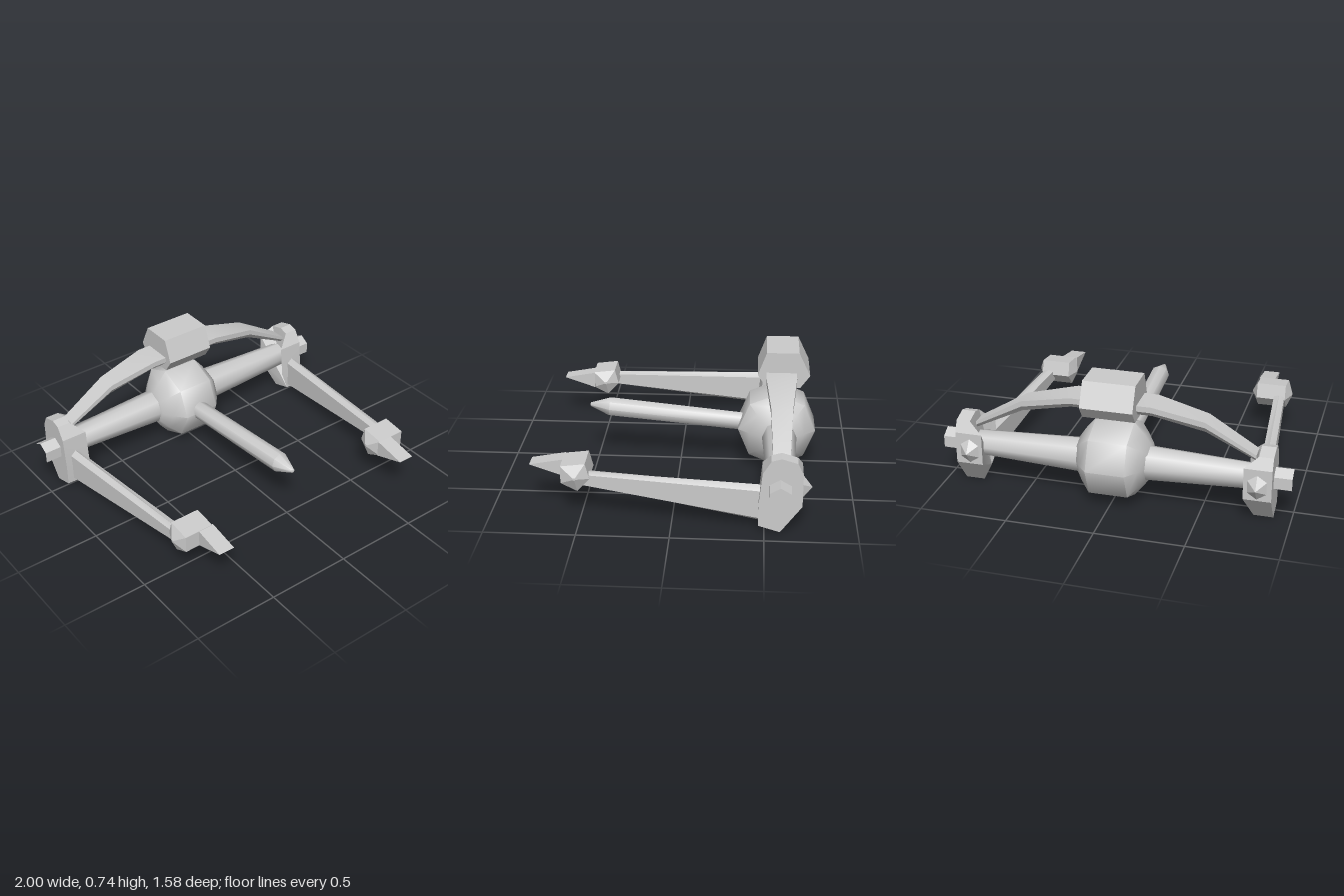
import * as THREE from 'three';
import { toCreasedNormals } from 'three/addons/utils/BufferGeometryUtils.js';

const material = new THREE.MeshStandardMaterial({ color: 0xcccccc });

function part(name, geometry, crease = 0.5) {
  const mesh = new THREE.Mesh(toCreasedNormals(geometry, crease), material);
  mesh.name = name;
  return mesh;
}

// Skin a row of equal-length cross-sections and cap both ends.
function loft(sections) {
  const n = sections[0].length;
  const tris = [];
  for (let s = 0; s < sections.length - 1; s++) {
    const a = sections[s], b = sections[s + 1];
    for (let i = 0; i < n; i++) {
      const j = (i + 1) % n;
      tris.push([a[i], a[j], b[j]], [a[i], b[j], b[i]]);
    }
  }
  const first = sections[0], last = sections[sections.length - 1];
  for (let i = 1; i < n - 1; i++) {
    tris.push([first[0], first[i + 1], first[i]], [last[0], last[i], last[i + 1]]);
  }
  // Turn the surface outward by the sign of its volume
  const vec = (p) => new THREE.Vector3(...p);
  let volume = 0;
  for (const [a, b, c] of tris) volume += vec(a).dot(vec(b).cross(vec(c)));
  const points = tris.flatMap(([a, b, c]) => (volume < 0 ? [a, c, b] : [a, b, c])).flat();
  const g = new THREE.BufferGeometry();
  g.setAttribute('position', new THREE.Float32BufferAttribute(points, 3));
  return g;
}

// Prism along x from a [z, y] outline
const slice = (outline, x) => outline.map(([z, y]) => [x, y, z]);

// Lathe around the x axis from [radius, x] points
function latheX(points, sides) {
  const g = new THREE.LatheGeometry(points.map(([r, x]) => new THREE.Vector2(r, x)), sides);
  return g.rotateZ(-Math.PI / 2);
}

// One side assembly, for the +x or the -x side
function buildSide(m) {
  const side = new THREE.Group();
  side.name = m > 0 ? 'leftSide' : 'rightSide';
  const flip = (sections) => sections.map((s) => s.map(([x, y, z]) => [x * m, y, z]));

  // End plate: flat outside, swelling inward at mid height
  const outline = [
    [-0.467, 0.04], [-0.467, 0.16], [-0.485, 0.345], [-0.53, 0.42], [-0.585, 0.435],
    [-0.67, 0.41], [-0.7, 0.345], [-0.7, 0.16], [-0.585, 0.005],
  ];
  const innerX = (y) => (y > 0.4 ? 0.82 : y > 0.1 ? 0.745 : 0.79);
  const inner = outline.map(([z, y]) => [innerX(y), y, z]);
  side.add(part('endPlate', loft(flip([inner, slice(outline, 0.9)])), 0.3));

  // Pointed nub on the back of the plate
  const nub = new THREE.ConeGeometry(0.075, 0.055, 6);
  nub.rotateX(-Math.PI / 2).scale(0.85, 1, 1).translate(0.82 * m, 0.24, -0.725);
  side.add(part('backNub', nub, 0.3));

  // Open hexagonal stub
  const stub = new THREE.CylinderGeometry(0.068, 0.068, 0.11, 6, 1, true);
  stub.rotateZ(Math.PI / 2).rotateX(Math.PI / 2).translate(0.945 * m, 0.247, -0.58);
  side.add(part('axleStub', stub, 0.3));

  // Tapered forward arm
  const armSection = (x, z, low, high, w) => {
    const d = (high - low) * 0.12;
    return [
      [x, high, z], [x + w, high - d, z], [x + w, low + d, z],
      [x, low, z], [x - w, low + d, z], [x - w, high - d, z],
    ];
  };
  side.add(part('forwardArm', loft(flip([
    armSection(0.83, -0.5, 0.035, 0.25, 0.033),
    armSection(0.75, 0.5, 0.185, 0.264, 0.032),
  ])), 0.9));

  // Arm head: five-sided block with pointed ends
  const head = [[0.605, 0.305], [0.47, 0.322], [0.447, 0.235], [0.515, 0.16], [0.605, 0.205]];
  const shrunk = head.map(([z, y]) => [0.525 + (z - 0.525) * 0.1, 0.245 + (y - 0.245) * 0.1]);
  side.add(part('armHead', loft(flip([
    slice(shrunk, 0.58), slice(head, 0.615), slice(head, 0.79), slice(shrunk, 0.825),
  ])), 0.3));

  // Wedge blade in front of the head
  const blade = [[0.6, 0.305], [0.6, 0.205], [0.79, 0.27]];
  side.add(part('blade', loft(flip([slice(blade, 0.607), slice(blade, 0.703)])), 0.2));
  return side;
}

export function createModel() {
  const model = new THREE.Group();
  model.name = 'craft';

  // Faceted ball in the middle
  const ball = latheX([
    [0, -0.22], [0.1, -0.205], [0.16, -0.165], [0.226, -0.11],
    [0.226, 0.11], [0.16, 0.165], [0.1, 0.205], [0, 0.22],
  ], 8);
  ball.translate(0, 0.25, -0.568);
  model.add(part('centreBall', ball, 0.9));

  // Cross bar, thinner toward the plates
  const bar = latheX([[0.073, -0.8], [0.1, -0.2], [0.1, 0.2], [0.073, 0.8]], 8);
  bar.translate(0, 0.246, -0.583);
  model.add(part('crossBar', bar, 0.9));

  // Forward spike, rising slightly
  const spike = latheX([[0, -0.05], [0.055, -0.05], [0.058, 0.8], [0.012, 0.915], [0, 0.92]], 8);
  spike.rotateY(-Math.PI / 2).rotateX(-0.094).translate(0, 0.255, -0.37);
  model.add(part('frontSpike', spike, 0.8));

  // Arch from plate to plate, wide on top and narrower below
  const archSection = (x, top, bottom, w) => {
    const mid = top - (top - bottom) * 0.5;
    const z = -0.586;
    return [
      [x, top, z - w], [x, top, z + w], [x, mid, z + w],
      [x, bottom, z + w * 0.6], [x, bottom, z - w * 0.6], [x, mid, z - w],
    ];
  };
  const stations = [
    [0.8, 0.395, 0.355, 0.046], [0.52, 0.56, 0.495, 0.06], [0.23, 0.625, 0.56, 0.087],
  ];
  const arch = [
    ...stations.map(([x, ...rest]) => archSection(-x, ...rest)),
    ...[...stations].reverse().map((s) => archSection(...s)),
  ];
  model.add(part('arch', loft(arch), 0.4));

  // Six-sided pod on top of the arch
  const pod = [
    [-0.45, 0.61], [-0.5, 0.745], [-0.685, 0.745],
    [-0.75, 0.61], [-0.695, 0.535], [-0.5, 0.535],
  ];
  model.add(part('topPod', loft([slice(pod, -0.148), slice(pod, 0.148)]), 0.3));

  model.add(buildSide(1), buildSide(-1));
  return model;
}
